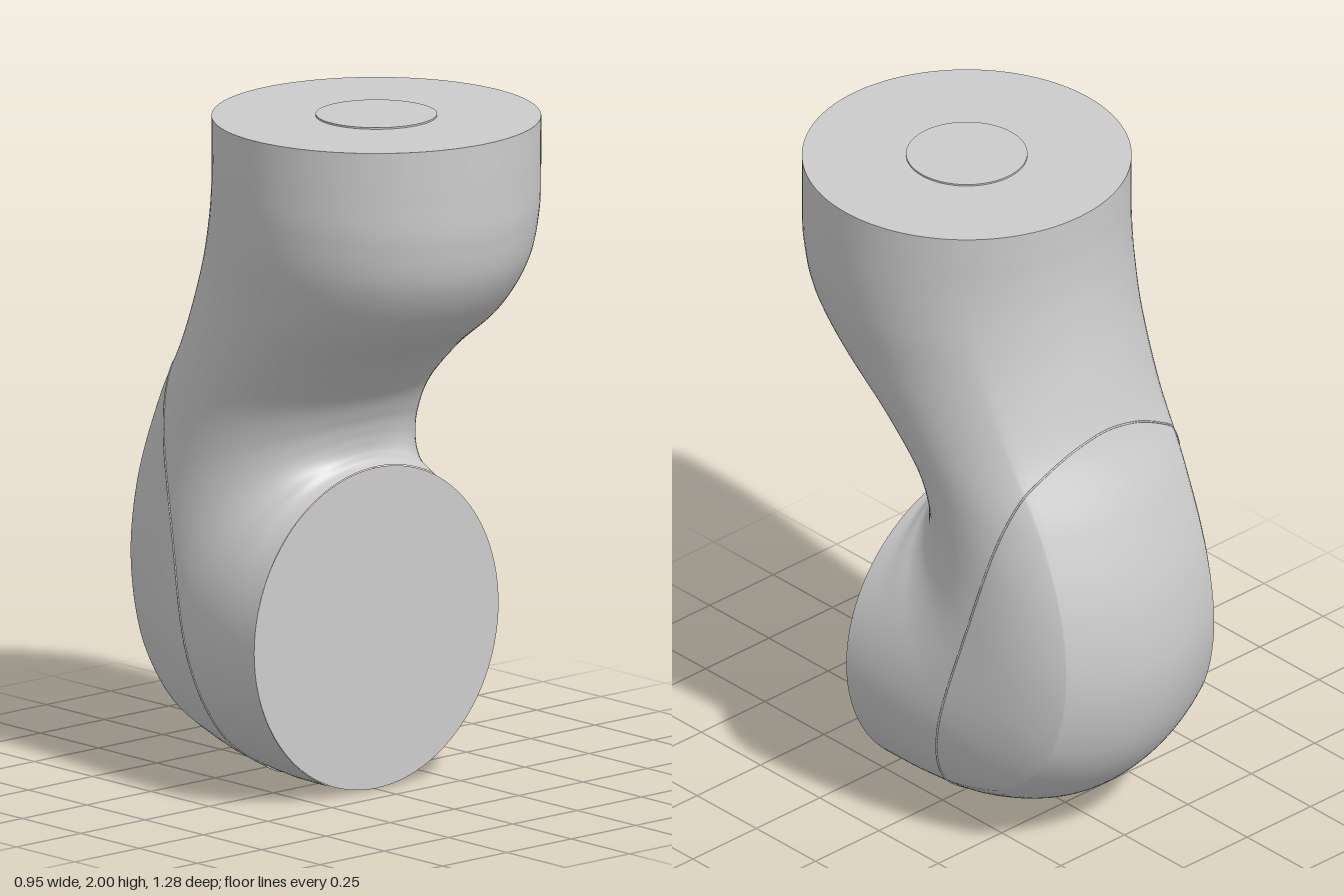
import * as THREE from 'three';

// Stations along the bend: inner z, inner y, outer z, outer y, half width, squareness of the back
const STATIONS = [
  [0.165, 0.955, 0.165, 0, 0.475, 0],
  [0.14, 0.965, -0.02, 0.005, 0.468, 0.1],
  [0.13, 0.985, -0.22, 0.04, 0.455, 0.4],
  [0.127, 1.0, -0.42, 0.14, 0.435, 0.8],
  [0.128, 1.02, -0.57, 0.32, 0.415, 1],
  [0.133, 1.05, -0.635, 0.56, 0.4, 1],
  [0.15, 1.1, -0.615, 0.82, 0.39, 0.95],
  [0.2, 1.18, -0.53, 1.08, 0.39, 0.8],
  [0.33, 1.3, -0.43, 1.3, 0.405, 0.55],
  [0.5, 1.425, -0.36, 1.53, 0.43, 0.3],
  [0.6, 1.56, -0.325, 1.7, 0.458, 0.1],
  [0.635, 1.7, -0.312, 1.83, 0.472, 0],
  [0.64, 1.84, -0.31, 1.92, 0.475, 0],
  [0.64, 1.995, -0.31, 1.995, 0.475, 0],
];
const ROWS = 130, COLS = 96;

const curve = (f) => new THREE.CatmullRomCurve3(STATIONS.map(f), false, 'catmullrom', 0.5);
const inner = curve((s) => new THREE.Vector3(0, s[1], s[0]));
const outer = curve((s) => new THREE.Vector3(0, s[3], s[2]));
const shape = curve((s) => new THREE.Vector3(s[4], s[5], 0));

// Unit outline from inner (a = 0) to outer (a = PI): a circle blended to tapered sides with an arched back
function outline(a, square) {
  const x = Math.sin(a), r = -Math.cos(a);
  const corner = 0.75 * Math.PI;
  let sx = x, sr = r;
  if (a > Math.PI / 2 && a <= corner) {
    sr = 0.82 * Math.sin((a - Math.PI / 2) * 2);
    sx = Math.sqrt(1 - (sr / 1.2) ** 2);
  } else if (a > corner) {
    const q = (Math.PI - a) / (Math.PI - corner);
    sx = 0.73 * q;
    sr = 1 - 0.18 * q * q;
  }
  return [x + (sx - x) * square, r + (sr - r) * square];
}

function surfacePoint(t, angle) {
  const side = angle > Math.PI ? -1 : 1;
  const a = side < 0 ? 2 * Math.PI - angle : angle;
  const s = shape.getPoint(t);
  const [x, r] = outline(a, THREE.MathUtils.clamp(s.y, 0, 1));
  const p = inner.getPoint(t).lerp(outer.getPoint(t), (r + 1) / 2);
  p.x = side * x * s.x;
  return p;
}

function bodyGeometry() {
  const positions = [], index = [];
  for (let i = 0; i <= ROWS; i++) {
    for (let k = 0; k < COLS; k++) {
      positions.push(...surfacePoint(i / ROWS, (k / COLS) * Math.PI * 2).toArray());
      if (i === ROWS) continue;
      const a = i * COLS + k, b = i * COLS + ((k + 1) % COLS);
      index.push(a, b, b + COLS, a, b + COLS, a + COLS);
    }
  }
  const g = new THREE.BufferGeometry();
  g.setAttribute('position', new THREE.Float32BufferAttribute(positions, 3));
  g.setIndex(index);
  g.computeVertexNormals();
  return g;
}

// Joint line where a slanted plane meets the body
function seamGeometry() {
  const ahead = (p) => p.z + 0.07 + (0.35 * (p.y - 0.02)) / 1.3;
  const half = [];
  for (let i = 0; i <= ROWS; i++) {
    const t = i / ROWS;
    if (ahead(surfacePoint(t, Math.PI)) > 0) continue;
    let lo = 0, hi = Math.PI;
    for (let n = 0; n < 24; n++) {
      const mid = (lo + hi) / 2;
      if (ahead(surfacePoint(t, mid)) > 0) lo = mid;
      else hi = mid;
    }
    half.push(surfacePoint(t, hi));
  }
  const mirrored = half.map((p) => new THREE.Vector3(-p.x, p.y, p.z)).reverse();
  const path = new THREE.CatmullRomCurve3([...half, ...mirrored], true);
  return new THREE.TubeGeometry(path, 240, 0.003, 6, true);
}

export function createModel() {
  const group = new THREE.Group();
  const material = new THREE.MeshStandardMaterial({ color: 0xcccccc });
  const add = (name, geometry) => {
    const mesh = new THREE.Mesh(geometry, material);
    mesh.name = name;
    group.add(mesh);
    return mesh;
  };

  add('elbowBody', bodyGeometry());
  add('backCoverSeam', seamGeometry());

  // Flat mounting faces
  add('frontFlange', new THREE.CircleGeometry(0.475, COLS)).position.set(0, 0.4775, 0.165);
  add('topFlange', new THREE.CircleGeometry(0.475, COLS).rotateX(-Math.PI / 2)).position.set(0, 1.995, 0.165);

  // Shallow hub on the top face
  add('topHub', new THREE.CylinderGeometry(0.175, 0.175, 0.01, 64)).position.set(0, 1.995, 0.165);
  return group;
}
